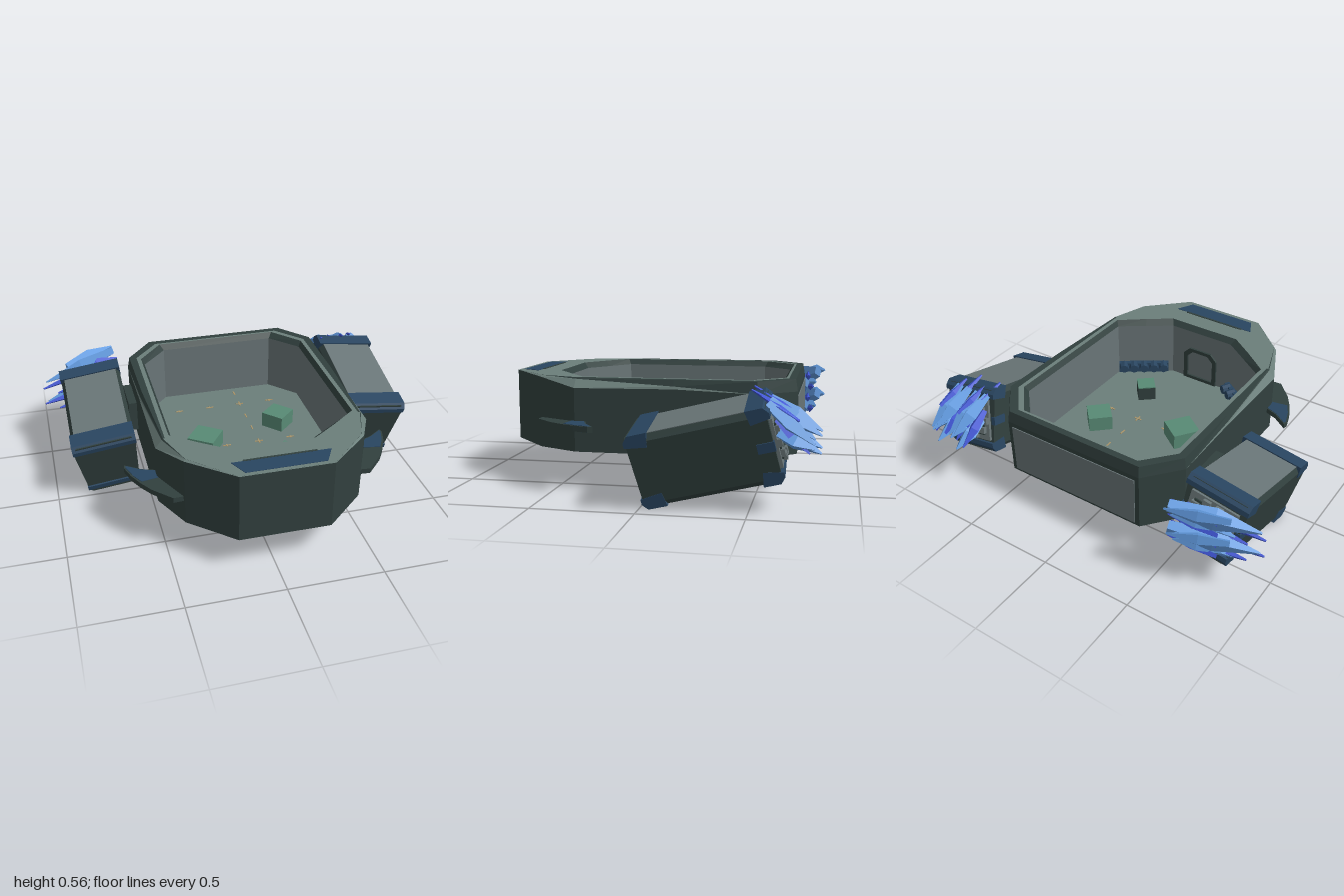
import * as THREE from 'three';

const mat = (name, color, side = THREE.FrontSide) =>
  Object.assign(new THREE.MeshStandardMaterial({ color, side }), { name, flatShading: true });
const HULL = mat('dark hull', 0x31403e, THREE.DoubleSide);
const DECK = mat('pale deck', 0x6b7e7a, THREE.DoubleSide);
const PANEL = mat('grey panel', 0x697577, THREE.DoubleSide);
const BLUE = mat('navy trim', 0x294560);
const FLAME = mat('light flame', 0x629be0);
const FLAME2 = mat('deep flame', 0x3f55d4);
const GREEN = mat('crate green', 0x588a75);
const TAN = mat('tan marking', 0xa8946a);
const UNDER = mat('underside', 0x626267);

const CX = 0.045; // hull centre line

export function createModel() {
  const model = new THREE.Group();
  model.name = 'openCraft';

  const add = (name, geo, material, x = 0, y = 0, z = 0, parent = model) => {
    const m = new THREE.Mesh(geo, material);
    m.name = name;
    m.position.set(x, y, z);
    parent.add(m);
    return m;
  };
  const box = (w, h, d) => new THREE.BoxGeometry(w, h, d);

  // Closed 12-point ring from one half of the plan, counter-clockwise from above
  const ring = (half, ys) => {
    const y = (i) => (Array.isArray(ys) ? ys[i] : ys);
    const r = half.map(([x, z], i) => [CX + x, y(i), z]);
    const l = half.map(([x, z], i) => [CX - x, y(i), z]).reverse();
    return [...r, ...l];
  };
  // Flat-faced strip between two rings, optionally only on chosen segments
  const band = (a, b, keep = () => true) => {
    const p = [];
    a.forEach((_, i) => {
      const j = (i + 1) % a.length;
      if (keep(i)) p.push(...a[i], ...a[j], ...b[j], ...a[i], ...b[j], ...b[i]);
    });
    const g = new THREE.BufferGeometry();
    g.setAttribute('position', new THREE.Float32BufferAttribute(p, 3));
    g.computeVertexNormals();
    return g;
  };
  // Horizontal plate from plan points [x, z]
  const plate = (pts, h) => {
    const s = new THREE.Shape(pts.map(([x, z]) => new THREE.Vector2(x, -z)));
    return new THREE.ExtrudeGeometry(s, { depth: h, bevelEnabled: false }).rotateX(-Math.PI / 2);
  };

  // Hull shell rings; the shell is open underneath around the floor slab
  const outline = [[0.235, 0.81], [0.455, 0.61], [0.555, 0.4], [0.555, -0.1], [0.555, -0.51], [0.405, -0.69]];
  const rimOut = [[0.235, 0.805], [0.445, 0.602], [0.515, 0.4], [0.54, -0.1], [0.545, -0.505], [0.4, -0.68]];
  const rimMid = [[0.235, 0.8], [0.44, 0.595], [0.505, 0.4], [0.505, -0.1], [0.505, -0.49], [0.37, -0.645]];
  const rimIn = [[0.215, 0.575], [0.345, 0.482], [0.482, 0.375], [0.482, -0.1], [0.482, -0.47], [0.345, -0.632]];
  const opening = [[0.195, 0.55], [0.33, 0.455], [0.465, 0.36], [0.465, -0.1], [0.465, -0.455], [0.325, -0.61]];
  const wallTop = ring(outline, [0.56, 0.552, 0.51, 0.515, 0.5, 0.5]);
  const rimO = ring(rimOut, 0.56), rimM = ring(rimMid, 0.56), rimI = ring(rimIn, 0.56);
  const lip = ring(opening, 0.53), floorEdge = ring(opening, 0.205);
  // Bevel colour border climbs from the wall top at the rear to the rim at the front
  const climb = [0.95, 0.95, 0.85, 0.3, 0, 0];
  const border = wallTop.map((p, i) => p.map((v, k) => v + (rimO[i][k] - v) * climb[i < 6 ? i : 11 - i]));
  const rearPart = (i) => i >= 2 && i <= 8;
  add('outerWall', band(ring(outline, 0.19), wallTop), HULL);
  add('paleBevel', band(wallTop, border, (i) => i <= 3 || i >= 7), DECK);
  add('darkBevel', band(border, rimO), HULL);
  add('rimBorder', band(rimO, rimM, rearPart), HULL);
  add('rimFrontBorder', band(rimO, rimM, (i) => !rearPart(i)), DECK);
  add('rim', band(rimM, rimI), DECK);
  add('rimLip', band(rimI, lip), HULL);
  add('innerWall', band(lip, floorEdge), PANEL);
  const plan = (r) => r.map(([x, , z]) => [x, z]);
  add('floor', plate(plan(lip), 0.005), DECK, 0, 0.206);
  add('bellyPlate', plate(plan(rimI), 0.02), UNDER, 0, 0.185);
  add('rearPanel', box(0.76, 0.27, 0.008), PANEL, CX, 0.34, -0.691);
  add('visor', plate([[-0.2, 0.69], [-0.155, 0.785], [0.25, 0.785], [0.3, 0.69]], 0.003), BLUE, 0, 0.559);
  add('visorEdge', box(0.37, 0.004, 0.012), HULL, CX, 0.561, 0.687);

  // Door frame on the front inner wall
  const octagon = (w, h, c) => [[-w, -h], [w, -h], [w, h - c], [w - c, h], [c - w, h], [-w, h - c]]
    .map(([x, y]) => new THREE.Vector2(x, y));
  const frame = new THREE.Shape(octagon(0.11, 0.105, 0.04));
  frame.holes.push(new THREE.Path(octagon(0.085, 0.085, 0.035)));
  add('doorFrame', new THREE.ExtrudeGeometry(frame, { depth: 0.012, bevelEnabled: false }), HULL, CX, 0.315, 0.538);

  // Consoles, fins, pylons and engines on both sides
  for (const s of [-1, 1]) {
    const X = (x) => CX + s * x;

    const bench = new THREE.Group();
    bench.name = 'consoleRow';
    bench.position.set(X(0.322), 0.262, 0.418);
    bench.rotation.y = s * 0.61;
    model.add(bench);
    add('consoleBack', box(0.3, 0.06, 0.03), BLUE, 0, 0, 0.01, bench);
    for (let i = -2; i <= 2; i++) {
      add('consoleKnob', new THREE.CylinderGeometry(0.026, 0.03, 0.05, 8).rotateX(-Math.PI / 2), BLUE, i * 0.06, 0.008, -0.01, bench);
    }

    // Swept fin with a painted inner tip
    const fin = (pts, h) => plate(pts.map(([x, z]) => [X(x), z]), h);
    const finPlan = [[0.7, 0.265], [0.705, 0.29], [0.68, 0.37], [0.645, 0.44], [0.6, 0.51], [0.51, 0.605], [0.44, 0.6], [0.53, 0.41], [0.55, 0.345], [0.62, 0.32]];
    const paint = [[0.694, 0.275], [0.697, 0.29], [0.67, 0.37], [0.637, 0.43], [0.55, 0.415], [0.555, 0.35], [0.622, 0.325]];
    add('fin', fin(finPlan, 0.028), HULL, 0, 0.316);
    add('finPaintTop', fin(paint, 0.003), BLUE, 0, 0.343);
    add('finPaintUnder', fin(paint, 0.003), BLUE, 0, 0.314);

    add('pylon', box(0.05, 0.17, 0.22), HULL, X(0.575), 0.335, -0.33);
    add('pylonJoint', box(0.14, 0.1, 0.13), HULL, X(0.6), 0.335, -0.33);

    buildEngine(s);
  }

  function buildEngine(s) {
    const e = new THREE.Group();
    e.name = s > 0 ? 'leftEngine' : 'rightEngine';
    e.position.set(CX + s * 0.754, 0.27, -0.3);
    e.rotation.set(0.236, s * 0.035, -s * 0.14, 'ZYX');
    model.add(e);
    // Tapered body with chamfered corners
    const sec = [[-0.125, -0.178], [0.125, -0.178], [0.142, -0.155], [0.168, 0.145], [0.148, 0.174], [-0.148, 0.174], [-0.168, 0.145], [-0.142, -0.155]];
    const shape = new THREE.Shape(sec.map(([x, y]) => new THREE.Vector2(x, y)));
    add('engineBody', new THREE.ExtrudeGeometry(shape, { depth: 0.645, bevelEnabled: false }), HULL, 0, 0, -0.32, e);
    add('engineTopPanel', box(0.296, 0.008, 0.46), PANEL, 0, 0.173, 0, e);
    // Edge caps: chamfered profile in (z, y), extruded across the width
    for (const f of [-1, 1]) for (const v of [-1, 1]) {
      const start = f > 0 ? 0.218 : 0.23;
      const pts = [[start, 0.183], [0.31, 0.183], [0.334, 0.155], [0.334, 0.13], [start + 0.012, 0.115]];
      const sh = new THREE.Shape(pts.map(([z, y]) => new THREE.Vector2(-f * z, v * y)));
      const w = v > 0 ? 0.342 : 0.294;
      const g = new THREE.ExtrudeGeometry(sh, { depth: w, bevelEnabled: false });
      g.translate(0, 0, -w / 2).rotateY(Math.PI / 2);
      add('edgeCap', g, BLUE, 0, 0, 0, e);
    }
    for (const k of [-1, 1]) add('sideClip', box(0.025, 0.045, 0.08), BLUE, k * 0.152, 0, -0.285, e);
    // Exhaust frame and vents
    add('exhaustFrame', box(0.26, 0.23, 0.02), PANEL, 0, 0, -0.325, e);
    add('exhaustCore', box(0.2, 0.17, 0.02), HULL, 0, 0, -0.333, e);
    for (let i = 0; i < 10; i++) {
      const a = (i / 10) * Math.PI * 2;
      add('ventBlock', box(0.04, 0.035, 0.03), PANEL, Math.cos(a) * 0.11, Math.sin(a) * 0.095, -0.34, e);
    }
  }

  // Flame shards: thin spindles from one point to another
  const shard = (a, b, w, material) => {
    const from = new THREE.Vector3(...a), to = new THREE.Vector3(...b);
    const dir = to.clone().sub(from), len = dir.length();
    const point = new THREE.CylinderGeometry(0.006, w, len * 0.5, 4).translate(0, len * 0.25, 0);
    const tail = new THREE.CylinderGeometry(w, w * 0.55, len * 0.5, 4).translate(0, -len * 0.25, 0);
    const q = new THREE.Quaternion().setFromUnitVectors(new THREE.Vector3(0, 1, 0), dir.normalize());
    for (const part of [point, tail]) {
      const m = add('flameShard', part.scale(1, 1, 0.7), material);
      m.position.copy(from).add(to).multiplyScalar(0.5);
      m.quaternion.copy(q);
    }
  };
  for (let i = 0; i < 4; i++) {
    const t = i / 3, odd = i % 2;
    // Left flames trail backward and down in two rows
    shard([0.7 + 0.19 * t, 0.5, -0.58], [0.74 + 0.19 * t, 0.36 - 0.03 * odd, -0.82 + 0.03 * odd], 0.056, FLAME);
    shard([0.71 + 0.19 * t, 0.37, -0.63], [0.73 + 0.2 * t, 0.28 + 0.03 * odd, -0.82 + 0.03 * odd], 0.055, FLAME);
    shard([0.73 + 0.19 * t, 0.43, -0.72], [0.67 + 0.2 * t, 0.55 - 0.02 * odd, -0.5 - 0.05 * odd], 0.022, FLAME2);
    shard([0.69 + 0.2 * t, 0.43, -0.62], [0.7 + 0.23 * t, 0.29, -0.8 + 0.03 * odd], 0.036, FLAME2);
    // Right flames sweep outward
    shard([-0.57 - 0.02 * odd, 0.49 - 0.2 * t, -0.76 + 0.07 * odd], [-0.98 + 0.12 * odd, 0.41 - 0.19 * t, -0.61 - 0.03 * odd], 0.058, FLAME);
    shard([-0.85 + 0.04 * odd, 0.46 - 0.2 * t, -0.67], [-0.57 - 0.02 * t, 0.5 - 0.22 * t, -0.8 + 0.05 * odd], 0.044, FLAME);
    shard([-0.62, 0.46 - 0.2 * t, -0.68], [-1 + 0.08 * odd, 0.37 - 0.15 * t, -0.605 - 0.02 * odd], 0.03, FLAME2);
    shard([-0.8, 0.44 - 0.2 * t, -0.7], [-0.55, 0.47 - 0.2 * t, -0.7 - 0.03 * odd], 0.03, FLAME2);
  }

  // Crates, a dark pedestal with a green top, and a small stand
  for (const [x, z, w, r, sides] of [[-0.17, 0, 0.15, -0.62, GREEN], [0.29, -0.14, 0.13, 0.75, GREEN], [0.23, 0.24, 0.1, 0.7, HULL]]) {
    add('crate', box(w, 0.08, w), sides, x, 0.25, z).rotation.y = r;
    add('crateLid', box(w, 0.006, w), GREEN, x, 0.293, z).rotation.y = r;
  }
  add('stand', box(0.1, 0.06, 0.05), TAN, -0.36, 0.24, 0.23).rotation.y = 0.95;

  // Floor markings
  const mark = (x, z, w, d) => add('floorMark', box(w, 0.004, d), TAN, x, 0.212, z);
  for (const z of [-0.415, 0.015]) for (const x of [-0.235, -0.05, 0.135, 0.32]) {
    if (z > 0 && x < -0.2) continue;
    mark(x, z, 0.045, 0.008);
    mark(x, z, 0.008, x === 0.135 ? 0.045 : 0.02);
  }
  for (const z of [-0.55, -0.27, -0.135]) mark(0.135, z, 0.008, 0.04);

  return model;
}
